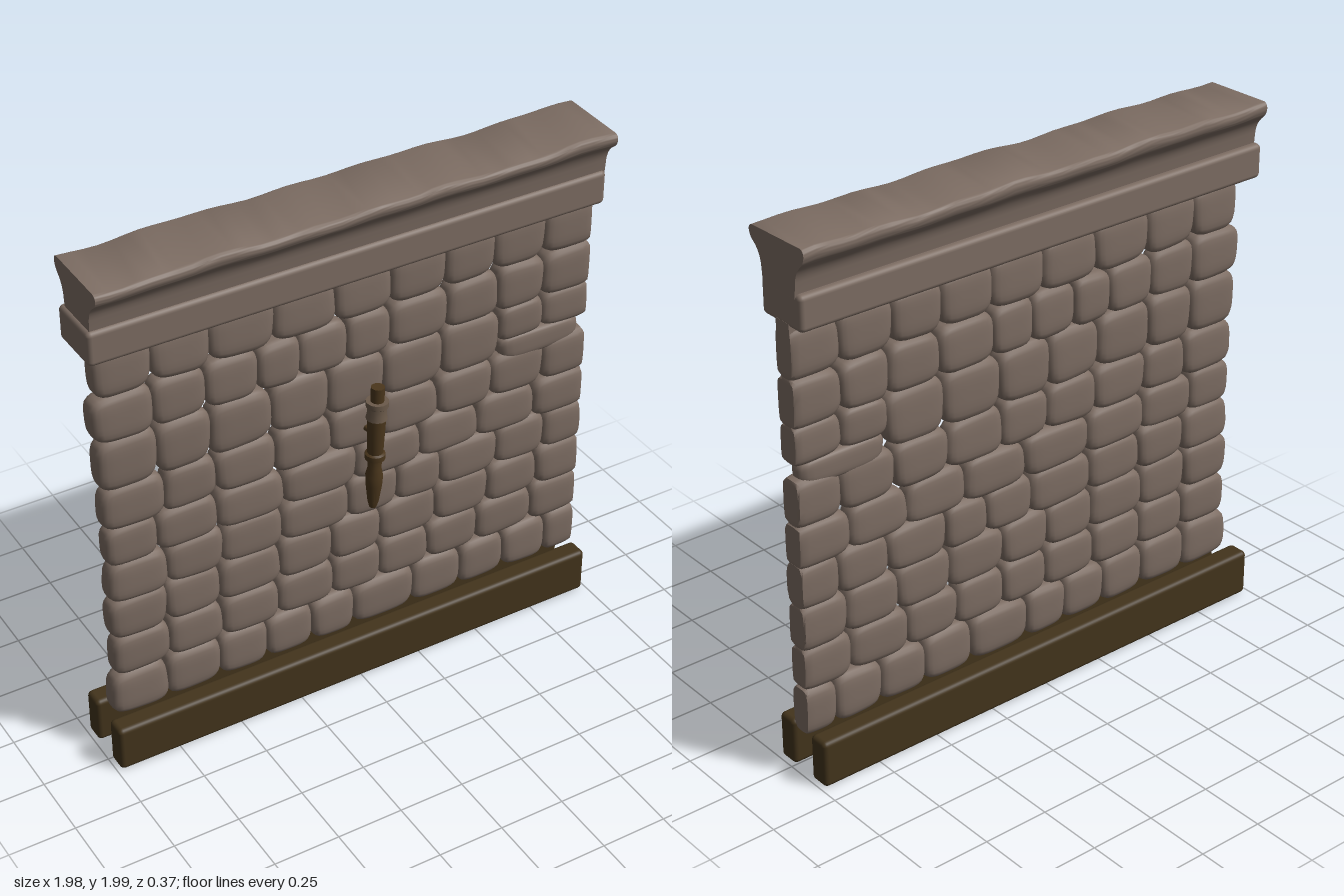
import * as THREE from 'three';
import { mergeVertices, toCreasedNormals } from 'three/addons/utils/BufferGeometryUtils.js';
import { RoundedBoxGeometry } from 'three/addons/geometries/RoundedBoxGeometry.js';

const mat = (name, color) => {
  const m = new THREE.MeshStandardMaterial({ color });
  m.name = name;
  return m;
};
const stoneMat = mat('stone', 0x7d6d63);
const woodMat = mat('dark wood', 0x43341c);
const torchMat = mat('torch wood', 0x4a361c);
const bandMat = mat('torch band', 0x6b5a4a);

const END = 0.985;      // flat cut on the +x end
const WALL_Z = -0.05;

let seed = 7;
const rnd = () => {
  seed = (seed * 16807) % 2147483647;
  return seed / 2147483647 - 0.5;
};

function add(parent, name, geometry, material, x = 0, y = 0, z = 0) {
  const mesh = new THREE.Mesh(geometry, material);
  mesh.name = name;
  mesh.position.set(x, y, z);
  parent.add(mesh);
  return mesh;
}

// Move every vertex by a rule
function warp(geometry, rule) {
  const p = geometry.attributes.position;
  const v = new THREE.Vector3();
  for (let i = 0; i < p.count; i++) {
    v.fromBufferAttribute(p, i);
    rule(v);
    p.setXYZ(i, v.x, v.y, v.z);
  }
  return geometry;
}

// Pillow-shaped stone filling the rectangle x0..x1, y0..y1
function stone(x0, x1, y0, y1) {
  const box = new THREE.BoxGeometry(2, 2, 2, 8, 8, 6);
  box.deleteAttribute('uv');
  box.deleteAttribute('normal');
  const g = mergeVertices(box);
  const cut = x1 >= END;
  const right = cut ? x1 + 0.025 : x1;
  const hw = (right - x0) / 2 + 0.003, hh = (y1 - y0) / 2 + 0.002;
  const [a, b, c, d] = [rnd() * 0.1, rnd() * 0.12, rnd() * 0.1, rnd() * 0.1];
  const depth = 0.047 + rnd() * 0.006;
  warp(g, (v) => {
    const n = Math.pow(v.x ** 4 + v.y ** 4 + v.z ** 4, 0.25);
    v.divideScalar(n);
    const { x, y, z } = v;
    v.x = (x0 + right) / 2 + hw * (x + a * x * y + c * y * 0.5);
    v.y = (y0 + y1) / 2 + hh * (y + b * x * y + d * x * 0.5);
    v.z = WALL_Z + depth * z * (1 + c * x + d * y);
    if (cut) v.x = Math.min(v.x, END);
  });
  g.computeVertexNormals();
  return cut ? toCreasedNormals(g, 0.7) : g;
}

// Each course: bottom, top, then the joints along x
const courses = [
  [0.17, 0.35, [-0.955, -0.74, -0.53, -0.34, -0.155, 0.02, 0.275, 0.48, 0.67, 0.86, END]],
  [0.345, 0.515, [-0.94, -0.725, -0.515, -0.29, -0.065, 0.13, 0.335, 0.55, 0.79, END]],
  [0.505, 0.68, [-0.945, -0.73, -0.52, -0.28, -0.07, 0.13, 0.365, 0.59, 0.805, END]],
  [0.665, 0.835, [-0.94, -0.72, -0.505, -0.27, 0, 0.2, 0.38, 0.625, 0.83, END]],
  [0.82, 0.985, [-0.94, -0.75, -0.52, -0.26, 0.03, 0.295, 0.54, 0.78, END]],
  [0.975, 1.15, [-0.945, -0.715, -0.52, -0.29, -0.07, 0.13, 0.365, 0.59, 0.81, END]],
  [1.14, 1.345, [-0.95, -0.735, -0.535, -0.3, -0.08, 0.14, 0.38, 0.615]],
  [1.205, 1.35, [0.615, 0.8, END]],
  [1.115, 1.215, [0.63, 0.96]],
  [1.335, 1.515, [-0.96, -0.74, -0.545, -0.35, -0.19, -0.005, 0.165, 0.395, 0.605, 0.795, END]],
  [1.51, 1.695, [-0.945, -0.74, -0.525, -0.285, -0.05, 0.17, 0.385, 0.585, 0.795, END]],
];

// Moulding with a worn, slightly wavy top
function crown() {
  const s = new THREE.Shape();
  // shape x is measured backwards (-z)
  s.moveTo(-0.045, 1.815);
  s.lineTo(0.125, 1.815);
  s.lineTo(0.13, 1.87);
  s.quadraticCurveTo(0.135, 1.91, 0.165, 1.935);
  s.quadraticCurveTo(0.18, 1.95, 0.182, 1.97);
  s.quadraticCurveTo(0.182, 1.99, 0.165, 1.993);
  s.lineTo(-0.09, 1.993);
  s.quadraticCurveTo(-0.108, 1.99, -0.108, 1.972);
  s.quadraticCurveTo(-0.105, 1.95, -0.09, 1.94);
  s.quadraticCurveTo(-0.055, 1.915, -0.05, 1.87);
  const g = new THREE.ExtrudeGeometry(s, { depth: 1.96, steps: 40, bevelEnabled: false, curveSegments: 6 });
  g.rotateY(Math.PI / 2).translate(-0.975, 0, 0);
  warp(g, (v) => {
    const k = Math.max(0, (v.y - 1.9) / 0.1);
    v.y += k * (0.004 * Math.sin(v.x * 9) + 0.003 * Math.sin(v.x * 23 + v.z * 8));
    v.z += k * 0.004 * Math.sin(v.x * 13);
  });
  return toCreasedNormals(g, 0.7);
}

function createTorch() {
  const torch = new THREE.Group();
  torch.name = 'torch';
  const lathe = (pts) => toCreasedNormals(
    new THREE.LatheGeometry(pts.map(([r, y]) => new THREE.Vector2(r, y)), 14), 0.6);

  add(torch, 'torchHandle', lathe([
    [0, 0.83], [0.013, 0.835], [0.02, 0.86], [0.029, 0.93], [0.031, 0.97], [0.024, 1.0],
    [0.025, 1.035], [0.036, 1.04], [0.036, 1.06], [0.028, 1.065], [0.033, 1.21], [0, 1.21],
  ]), torchMat);
  add(torch, 'torchBand', lathe([
    [0, 1.205], [0.038, 1.205], [0.034, 1.225], [0.034, 1.25], [0.04, 1.255], [0.04, 1.275], [0, 1.275],
  ]), bandMat);
  add(torch, 'torchTip', new THREE.CylinderGeometry(0.024, 0.024, 0.06, 12), torchMat, 0, 1.3, 0);

  // Slight lean about its middle
  torch.position.set(0.0 - 0.03, 0, 0.147);
  torch.rotation.z = -0.035;
  return torch;
}

export function createModel() {
  const model = new THREE.Group();
  model.name = 'stoneWall';

  // Stone courses
  const wall = new THREE.Group();
  wall.name = 'stones';
  for (const [y0, y1, xs] of courses) {
    for (let i = 0; i + 1 < xs.length; i++) {
      add(wall, 'stone', stone(xs[i], xs[i + 1], y0, y1), stoneMat);
    }
  }
  model.add(wall);

  // Cornice: square band, moulding and the filler just below
  add(model, 'corniceBand', new RoundedBoxGeometry(1.975, 0.128, 0.212, 3, 0.018), stoneMat, -0.0025, 1.765, -0.046);
  add(model, 'corniceCrown', crown(), stoneMat);
  add(model, 'corniceFiller', new THREE.BoxGeometry(0.17, 0.04, 0.07), stoneMat, 0.9, 1.695, WALL_Z);

  // Sill beams either side of the wall
  for (const [name, z] of [['frontBeam', 0.039], ['backBeam', -0.139]]) {
    add(model, name, new RoundedBoxGeometry(1.972, 0.18, 0.083, 3, 0.018), woodMat, 0, 0.097, z);
  }

  // Torch and its wall hook
  model.add(createTorch());
  const hook = new THREE.CatmullRomCurve3([
    new THREE.Vector3(0.01, 1.05, 0.14), new THREE.Vector3(0.045, 1.052, 0.09),
    new THREE.Vector3(0.065, 1.05, 0.04), new THREE.Vector3(0.065, 1.052, -0.02),
  ]);
  add(model, 'torchHook', new THREE.TubeGeometry(hook, 16, 0.008, 8), torchMat);
  const foot = add(model, 'hookFoot', new THREE.CylinderGeometry(0.007, 0.014, 0.03, 10), torchMat, 0.065, 1.051, 0.005);
  foot.rotation.x = -Math.PI / 2;
  foot.scale.y = 1.2;
  foot.rotation.x = Math.PI / 2;
  return model;
}
